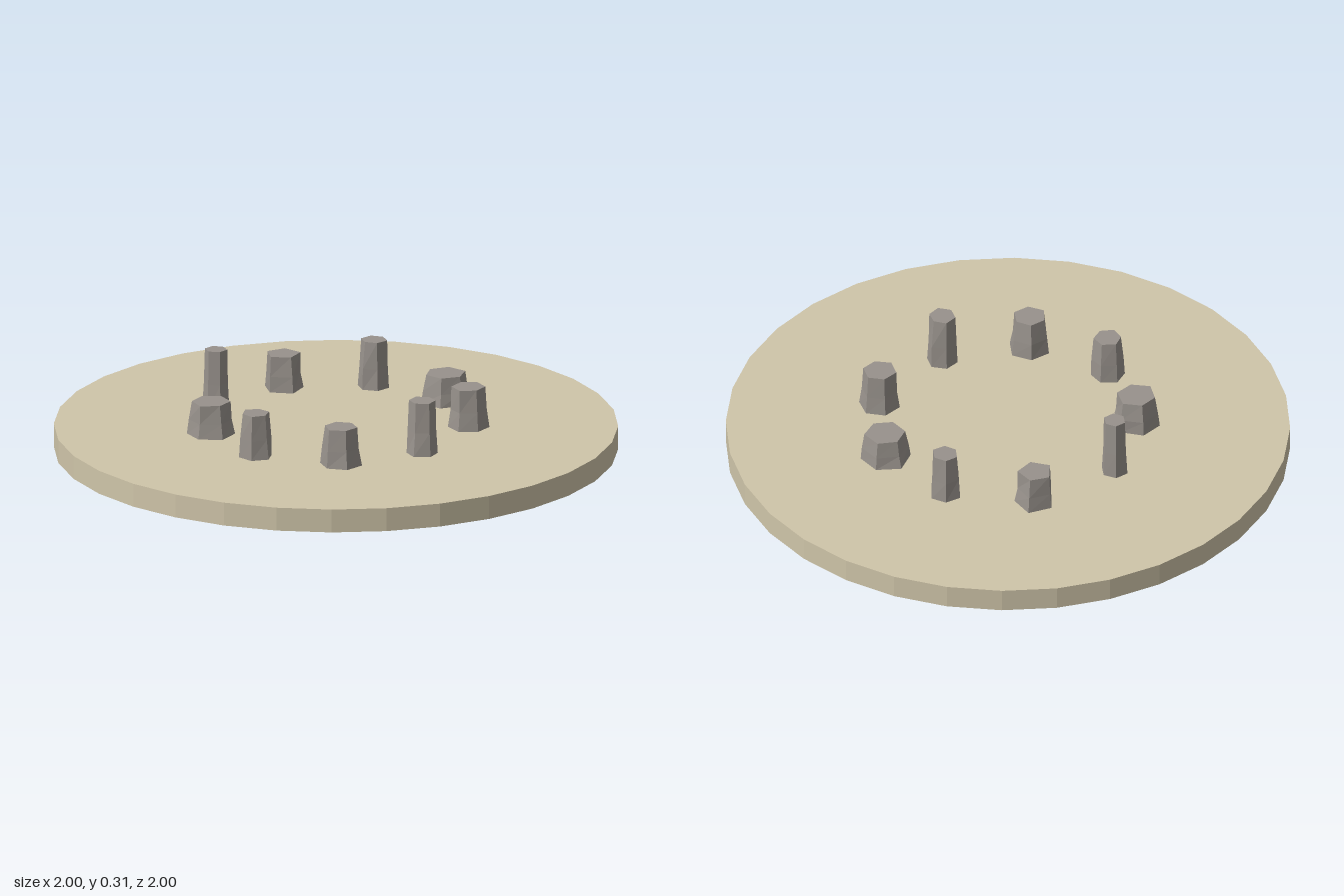
import * as THREE from 'three';

const sand = new THREE.MeshStandardMaterial({ color: 0xcfc5a9, flatShading: true });
sand.name = 'sand';
const stone = new THREE.MeshStandardMaterial({ color: 0x98928c, flatShading: true });
stone.name = 'stone';

const BASE_HEIGHT = 0.085;

// Standing stones: x, z, base radius, top height, corner direction in degrees, sides
const STONES = [
  [0.07, -0.47, 0.088, 0.19, -5, 6],
  [0.345, -0.32, 0.073, 0.235, 15, 6],
  [0.45, 0.01, 0.057, 0.28, 15, 6],
  [0.345, 0.31, 0.073, 0.225, 27, 6],
  [0.065, 0.46, 0.061, 0.245, -2, 6],
  [-0.235, 0.39, 0.085, 0.205, 15, 6],
  [-0.435, 0.17, 0.048, 0.305, 25, 6],
  [-0.44, -0.165, 0.073, 0.215, 15, 5],
  [-0.23, -0.41, 0.057, 0.26, 30, 6],
];

// Repeatable small variation in the range -1 to 1
const vary = (n) => {
  const s = Math.sin(n * 12.9898) * 43758.5453;
  return (s - Math.floor(s)) * 2 - 1;
};

// Prism flared towards its foot, with slightly uneven corners
function stoneGeometry(radius, height, sides, seed) {
  const geometry = new THREE.CylinderGeometry(radius * 0.82, radius, height, sides, 2);
  const p = geometry.attributes.position;
  for (let i = 0; i < p.count; i++) {
    const x = p.getX(i), y = p.getY(i), z = p.getZ(i);
    if (Math.hypot(x, z) < 1e-5) continue;
    const corner = (Math.round(Math.atan2(x, z) / (2 * Math.PI / sides)) + sides) % sides;
    const ring = Math.round(y / height * 2) + 1;
    const k = 1 + 0.06 * vary(seed * 31 + corner * 3 + ring + 1);
    p.setXYZ(i, x * k, ring === 1 ? y - height * 0.06 : y, z * k);
  }
  geometry.computeVertexNormals();
  return geometry;
}

export function createModel() {
  const model = new THREE.Group();
  model.name = 'stoneCircle';

  // Round ground slab
  const ground = new THREE.Mesh(new THREE.CylinderGeometry(1, 1, BASE_HEIGHT, 32), sand);
  ground.name = 'groundDisc';
  ground.position.y = BASE_HEIGHT / 2;
  model.add(ground);

  // Ring of standing stones
  const ring = new THREE.Group();
  ring.name = 'standingStones';
  STONES.forEach(([x, z, radius, top, angle, sides], i) => {
    const height = top - BASE_HEIGHT;
    const mesh = new THREE.Mesh(stoneGeometry(radius, height, sides, i + 1), stone);
    mesh.name = `standingStone${i + 1}`;
    mesh.position.set(x, BASE_HEIGHT + height / 2, z);
    mesh.rotation.y = THREE.MathUtils.degToRad(90 - angle);
    ring.add(mesh);
  });
  model.add(ring);

  return model;
}
